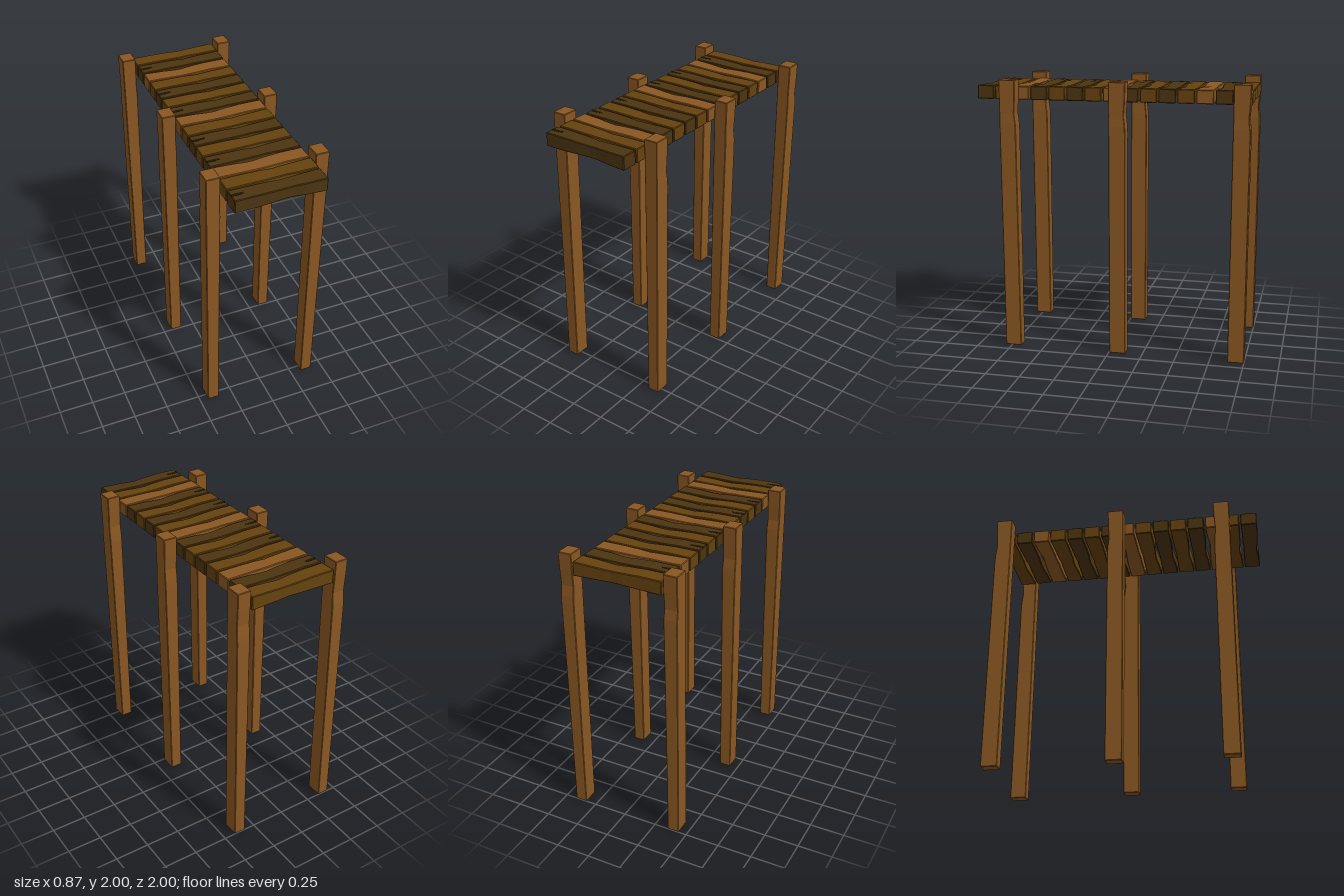
import * as THREE from 'three';

const paint = (name, color) => {
  const m = new THREE.MeshStandardMaterial({ color, flatShading: true });
  m.name = name;
  return m;
};

// Closed beam through bevelled rectangles [w, u0, u1, v0, v1]; place maps (u, v, w) to xyz.
function beam(sections, bevel, place) {
  const rings = [];
  const ring = ([w, u0, u1, v0, v1], inset, c) => {
    const a = u0 + inset, b = u1 - inset, p = v0 + inset, q = v1 - inset;
    rings.push([[b, p + c], [b, q - c], [b - c, q], [a + c, q], [a, q - c], [a, p + c], [a + c, p], [b - c, p]]
      .map(([u, v]) => place(u, v, w)));
  };
  const last = sections.length - 1;
  sections.forEach((s, i) => {
    if (i === 0) ring(s, bevel, bevel / 2);
    const t = [...s];
    if (i === 0) t[0] += bevel;
    if (i === last) t[0] -= bevel;
    ring(t, 0, bevel);
    if (i === last) ring(s, bevel, bevel / 2);
  });
  const out = [];
  const tri = (...pts) => pts.forEach((p) => out.push(...p));
  for (let i = 0; i < rings.length - 1; i++) {
    const a = rings[i], b = rings[i + 1];
    for (let j = 0; j < 8; j++) {
      const k = (j + 1) % 8;
      tri(a[j], a[k], b[k]);
      tri(a[j], b[k], b[j]);
    }
  }
  const start = rings[0], end = rings[rings.length - 1];
  for (let j = 1; j < 7; j++) {
    tri(start[0], start[j + 1], start[j]);
    tri(end[0], end[j], end[j + 1]);
  }
  const g = new THREE.BufferGeometry();
  g.setAttribute('position', new THREE.Float32BufferAttribute(out, 3));
  g.computeVertexNormals();
  return g;
}

export function createModel() {
  const group = new THREE.Group();
  const postWood = paint('post wood', 0x8a5722);
  const midWood = paint('medium wood', 0x66420f);
  const darkWood = paint('dark wood', 0x4c3410);
  const crackColor = paint('crack', 0x1c1408);

  const add = (name, geometry, material, x, y, z) => {
    const mesh = new THREE.Mesh(geometry, material);
    mesh.name = name;
    mesh.position.set(x, y, z);
    group.add(mesh);
    return mesh;
  };

  // Six worn posts: sections are [y, z0, z1, x0, x1]
  const post = beam([
    [0, -0.06, 0.06, -0.05, 0.036],
    [0.6, -0.06, 0.06, -0.05, 0.04],
    [1.2, -0.06, 0.06, -0.05, 0.045],
    [1.64, -0.06, 0.06, -0.05, 0.049],
    [1.69, -0.058, 0.06, -0.05, 0.05],
    [1.76, -0.049, 0.06, -0.05, 0.047],
    [1.88, -0.057, 0.06, -0.05, 0.049],
    [2, -0.06, 0.06, -0.05, 0.05],
  ], 0.004, (u, v, w) => [v, w, u]);
  for (const z of [-0.94, -0.065, 0.74]) {
    add('rightPost', post, postWood, -0.39, 0, z);
    add('leftPost', post, postWood, 0.38, 0, z);
  }

  // Deck planks with uneven edges: sections are [x, y0, y1, z0, z1]
  const plank = beam([
    [-0.325, -0.05, 0.048, -0.061, 0.061],
    [-0.16, -0.047, 0.049, -0.059, 0.061],
    [-0.04, -0.042, 0.045, -0.06, 0.056],
    [0.04, -0.041, 0.041, -0.056, 0.049],
    [0.09, -0.043, 0.043, -0.059, 0.048],
    [0.18, -0.046, 0.046, -0.06, 0.057],
    [0.325, -0.05, 0.05, -0.061, 0.061],
  ], 0.005, (u, v, w) => [w, u, v]);

  // Jagged split at the end of the dark planks
  const crackShape = new THREE.Shape([
    [0, -0.012], [0.04, -0.014], [0.07, -0.008], [0.095, -0.003],
    [0.08, 0.004], [0.09, 0.009], [0.05, 0.012], [0, 0.01],
  ].map(([x, y]) => new THREE.Vector2(x, y)));
  const crack = new THREE.ExtrudeGeometry(crackShape, { depth: 0.004, bevelEnabled: false });
  crack.rotateX(-Math.PI / 2);

  const woods = [midWood, darkWood, postWood, midWood, darkWood];
  for (let i = 0; i < 15; i++) {
    // Colour run from the back: two plain pairs follow each light plank
    const light = i % 5 === 2;
    const wood = light ? postWood
      : [1, 4, 6, 9, 11, 14].includes(i) ? darkWood : woods[0];
    const z = -0.939 + i * 0.13414;
    const mesh = add('plank', plank, wood, -0.004, 1.9, z);
    if (light) mesh.rotation.y = Math.PI;
    if (wood === darkWood) add('plankCrack', crack, crackColor, -0.326, 1.9455, z - 0.002);
  }
  return group;
}
